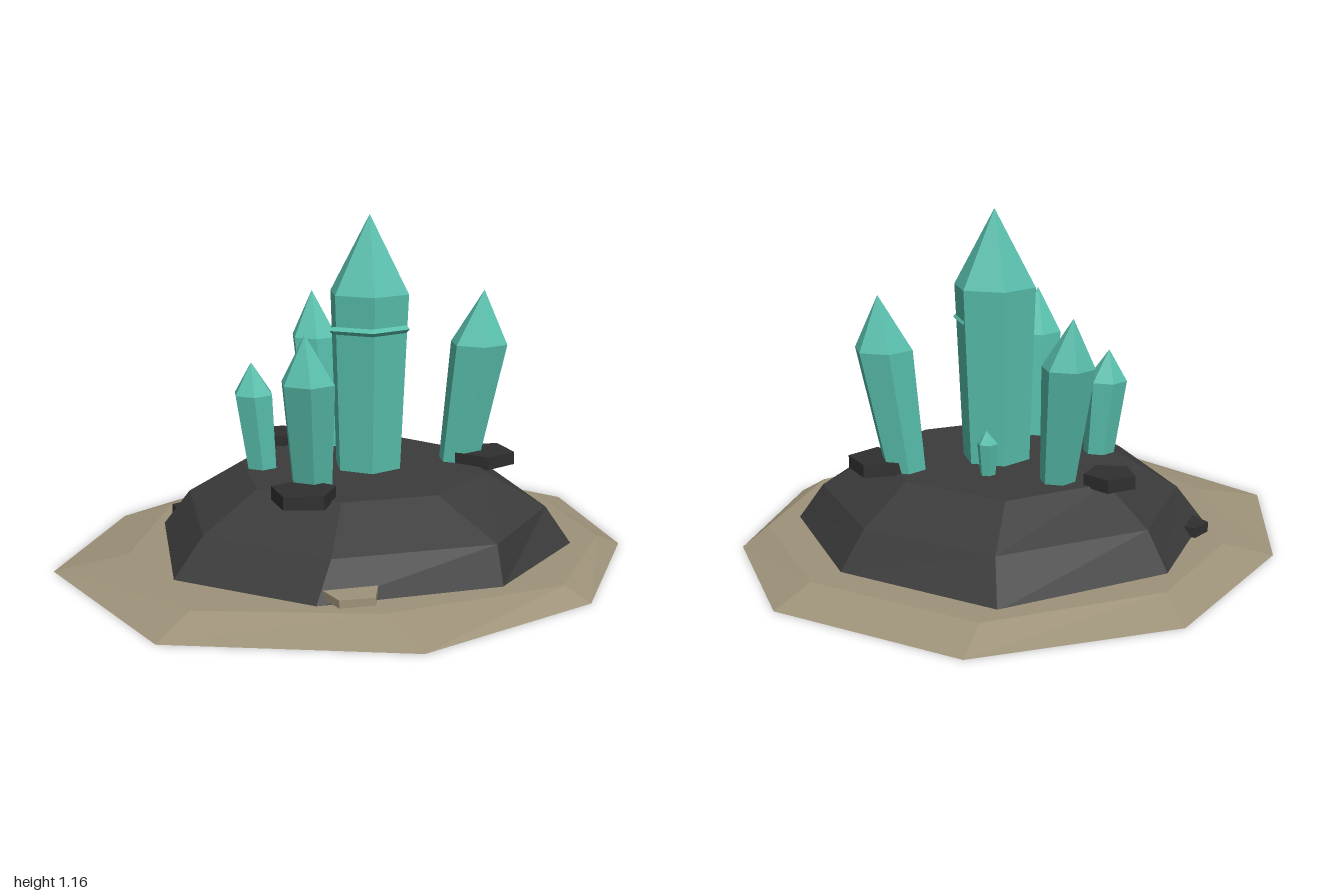
import * as THREE from 'three';

const material = (name, color) => {
  const m = new THREE.MeshStandardMaterial({ color, flatShading: true });
  m.name = name;
  return m;
};

// Horizontal outline from [x, z] pairs, clockwise seen from above
const outline = (y, points) => points.map(([x, z]) => new THREE.Vector3(x, y, z));

// Regular horizontal polygon, clockwise seen from above
const polygon = (x, y, z, r, sides, turn = 0) => outline(y, Array.from({ length: sides }, (_, i) => {
  const a = turn + (i / sides) * Math.PI * 2;
  return [x + r * Math.cos(a), z + r * Math.sin(a)];
}));

const middle = ring => ring.reduce((s, p) => s.add(p), new THREE.Vector3()).divideScalar(ring.length);

// Closed faceted solid through stacked rings; the top cap rises to the apex
function loft(rings, apex = middle(rings[rings.length - 1])) {
  const n = rings[0].length, points = [];
  const base = middle(rings[0]), last = rings[rings.length - 1];
  for (let i = 0; i < n; i++) {
    const j = (i + 1) % n;
    for (let k = 0; k + 1 < rings.length; k++) {
      const [lo, hi] = [rings[k], rings[k + 1]];
      points.push(lo[j], lo[i], hi[i], lo[j], hi[i], hi[j]);
    }
    points.push(base, rings[0][i], rings[0][j], apex, last[j], last[i]);
  }
  const g = new THREE.BufferGeometry().setFromPoints(points);
  g.computeVertexNormals();
  return g;
}

export function createModel() {
  const group = new THREE.Group();
  const sand = material('sand', 0x9e9279);
  const rock = material('dark rock', 0x3b3b3b);
  const stone = material('darker stone', 0x303030);
  const crystal = material('teal crystal', 0x58bfac);

  const add = (name, geometry, mat) => {
    const mesh = new THREE.Mesh(geometry, mat);
    mesh.name = name;
    group.add(mesh);
    return mesh;
  };

  // Sandy ground slab with bevelled rim
  add('sandBase', loft([
    outline(0, [[0.19, -0.93], [0.81, -0.62], [1, 0.04], [0.76, 0.57], [0.25, 0.92],
      [-0.42, 0.91], [-1, 0.39], [-0.97, -0.36], [-0.49, -0.77]]),
    outline(0.05, [[0.11, -0.79], [0.68, -0.55], [0.85, 0.05], [0.65, 0.57], [0.2, 0.85],
      [-0.4, 0.7], [-0.85, 0.33], [-0.75, -0.24], [-0.35, -0.66]]),
  ]), sand);

  // Rocky mound in two slopes
  add('rockMound', loft([
    outline(0.045, [[-0.01, -0.7], [0.58, -0.52], [0.735, 0.05], [0.52, 0.57],
      [0.04, 0.745], [-0.53, 0.53], [-0.76, 0.07], [-0.49, -0.47]]),
    outline(0.175, [[-0.01, -0.61], [0.5, -0.43], [0.64, 0.04], [0.46, 0.5],
      [0.05, 0.7], [-0.45, 0.5], [-0.645, 0.07], [-0.42, -0.4]]),
    outline(0.29, [[-0.01, -0.43], [0.35, -0.32], [0.45, 0.05], [0.31, 0.36],
      [0, 0.47], [-0.3, 0.35], [-0.43, 0.06], [-0.28, -0.27]]),
  ]), rock);

  // Six-sided crystals: foot [x, z, radius], shoulder [x, y, z, radius], tip [x, y, z]
  const crystals = [
    ['mainCrystal', [0.043, 0.042, 0.12], [0.045, 0.9, 0.045, 0.145], [0.05, 1.165, 0.04]],
    ['frontLeftCrystal', [0.355, 0.165, 0.073], [0.403, 0.71, 0.21, 0.103], [0.425, 0.895, 0.21]],
    ['frontRightCrystal', [-0.285, 0.17, 0.07], [-0.335, 0.66, 0.22, 0.094], [-0.355, 0.82, 0.23]],
    ['backLeftCrystal', [0.08, -0.29, 0.06], [0.1, 0.69, -0.355, 0.09], [0.105, 0.855, -0.38]],
    ['backRightCrystal', [-0.262, -0.165, 0.055], [-0.285, 0.55, -0.18, 0.072], [-0.29, 0.66, -0.185]],
    ['smallCrystal', [0.2, -0.08, 0.026], [0.205, 0.4, -0.085, 0.036], [0.21, 0.445, -0.085]],
  ];
  for (const [name, [x, z, r], [sx, sy, sz, sr], tip] of crystals) {
    add(name, loft([polygon(x, 0.28, z, r, 6), polygon(sx, sy, sz, sr, 6)], new THREE.Vector3(...tip)), crystal);
  }

  // Thin half band around the front of the main crystal
  const band = add('crystalBand', new THREE.TorusGeometry(0.145, 0.013, 4, 3, Math.PI), crystal);
  band.rotation.x = Math.PI / 2;
  band.position.set(0.035, 0.783, 0.045);

  // Loose flat stones and chips: x, bottom, z, radius, height, turn
  const slabs = [
    ['frontRightStone', stone, -0.38, 0.283, 0.255, 0.11, 0.045, 0.3],
    ['frontLeftStone', stone, 0.41, 0.283, 0.235, 0.11, 0.045, 0.9],
    ['backStone', stone, -0.02, 0.283, -0.435, 0.09, 0.045, 0.6],
    ['lowStone', stone, -0.36, 0.045, -0.5, 0.07, 0.04, 0.2],
    ['sandChip', sand, -0.425, 0.066, 0.57, 0.095, 0.025, 0.1],
  ];
  for (const [name, mat, x, y, z, r, h, turn] of slabs) {
    add(name, loft([polygon(x, y, z, r, 5, turn), polygon(x, y + h, z, r, 5, turn)]), mat);
  }

  return group;
}
